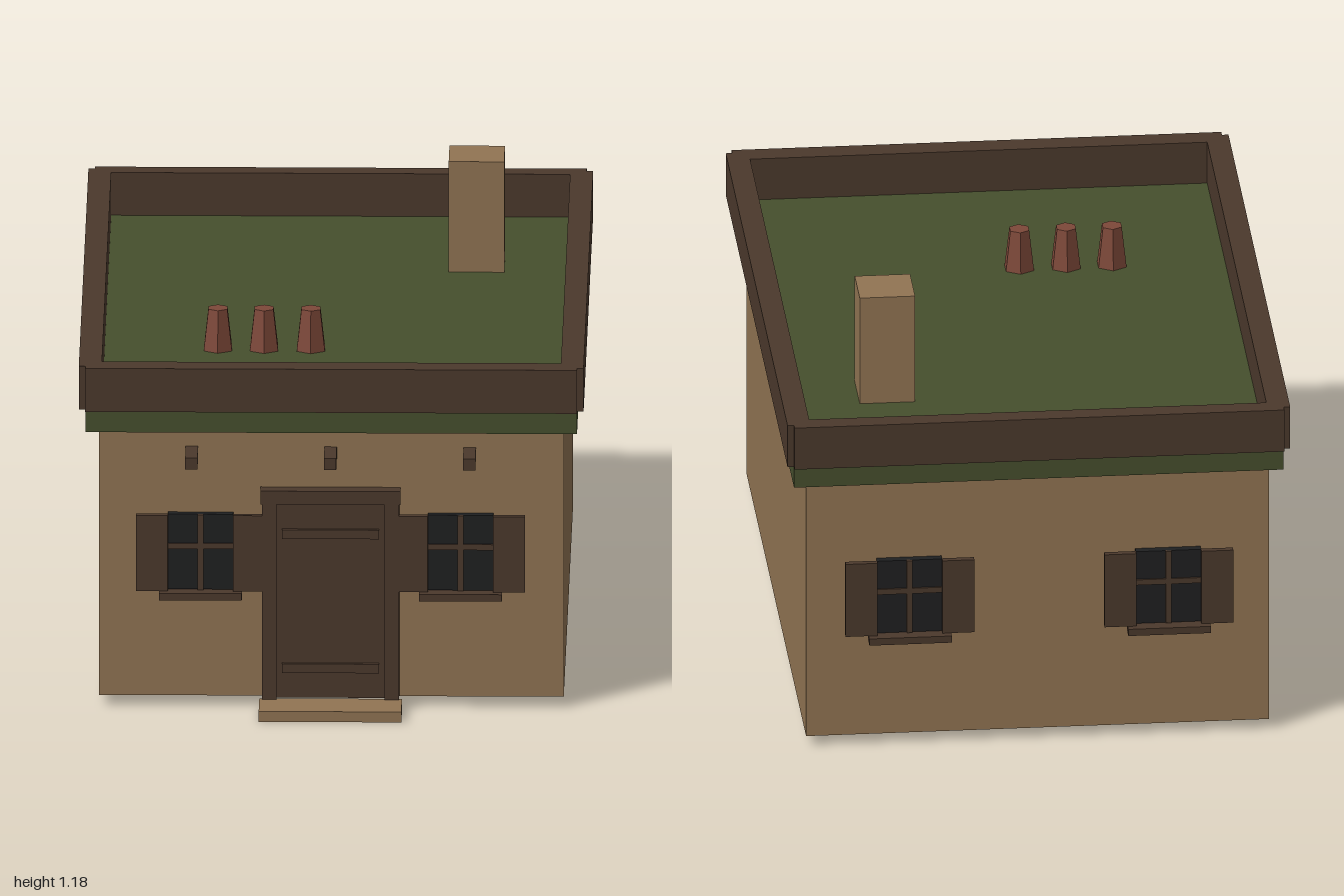
import * as THREE from 'three';

const flat = (name, color) => {
  const m = new THREE.MeshStandardMaterial({ color });
  m.name = name;
  return m;
};

export function createModel() {
  const wall = flat('adobe', 0x917453);
  const wood = flat('dark wood', 0x4b392c);
  const green = flat('roof green', 0x464f2d);
  const glass = flat('window glass', 0x1f2021);
  const clay = flat('clay', 0x7d4839);

  const house = new THREE.Group();
  house.name = 'house';

  // Box given by its minimum and maximum along each axis
  const box = (parent, name, mat, [x0, x1], [y0, y1], [z0, z1]) => {
    const mesh = new THREE.Mesh(new THREE.BoxGeometry(x1 - x0, y1 - y0, z1 - z0), mat);
    mesh.position.set((x0 + x1) / 2, (y0 + y1) / 2, (z0 + z1) / 2);
    mesh.name = name;
    parent.add(mesh);
    return mesh;
  };

  // Walls, roof slab and chimney
  box(house, 'walls', wall, [-0.64, 0.64], [0.03, 0.8], [-0.94, 0.85]);
  box(house, 'roofSlab', green, [-0.677, 0.677], [0.797, 0.862], [-0.98, 0.885]);
  box(house, 'chimney', wall, [0.305, 0.458], [0.86, 1.18], [-0.574, -0.423]);

  // Parapet: a ring with notched corners (shape y is -z)
  const ring = new THREE.Shape([
    [-0.677, -0.9], [0.677, -0.9], [0.677, -0.88], [0.695, -0.88],
    [0.695, 0.98], [0.677, 0.98], [0.677, 1], [-0.677, 1],
    [-0.677, 0.98], [-0.695, 0.98], [-0.695, -0.88], [-0.677, -0.88],
  ].map(([x, y]) => new THREE.Vector2(x, y)));
  ring.holes.push(new THREE.Path([
    [-0.632, -0.834], [-0.632, 0.945], [0.632, 0.945], [0.632, -0.834],
  ].map(([x, y]) => new THREE.Vector2(x, y))));
  const parapet = new THREE.Mesh(
    new THREE.ExtrudeGeometry(ring, { depth: 0.125, bevelEnabled: false }), wood);
  parapet.rotation.x = -Math.PI / 2;
  parapet.position.y = 0.86;
  parapet.name = 'parapet';
  house.add(parapet);

  // Hexagonal roof pots
  for (const x of [-0.32, -0.193, -0.064]) {
    const pot = new THREE.Mesh(new THREE.CylinderGeometry(0.03, 0.045, 0.12, 6).toNonIndexed(), clay);
    pot.geometry.computeVertexNormals();
    pot.position.set(x, 0.92, 0.307);
    pot.name = 'roofPot';
    house.add(pot);
  }

  // Beam ends over the door
  for (const x of [-0.384, -0.002, 0.381]) {
    box(house, 'beamEnd', wood, [x - 0.017, x + 0.017], [0.714, 0.747], [0.84, 0.96]);
  }

  // Door with frame, battens and step
  const door = new THREE.Group();
  door.name = 'door';
  door.position.x = -0.002;
  house.add(door);
  box(door, 'doorPanel', wood, [-0.15, 0.15], [0.03, 0.592], [0.845, 0.868]);
  for (const y of [0.117, 0.503]) {
    box(door, 'doorBatten', wood, [-0.134, 0.134], [y - 0.013, y + 0.013], [0.865, 0.879]);
  }
  for (const s of [-1, 1]) {
    const x = s * 0.169;
    box(door, 'doorJamb', wood, [x - 0.02, x + 0.02], [0.03, 0.592], [0.845, 0.889]);
  }
  box(door, 'doorLintel', wood, [-0.193, 0.193], [0.592, 0.631], [0.845, 0.891]);
  box(house, 'doorStep', wall, [-0.198, 0.195], [0, 0.03], [0.877, 1]);

  // Window with glazing bars, sill and shutters, facing +z from z = 0
  const addWindow = (x, z, turn) => {
    const win = new THREE.Group();
    win.name = 'window';
    win.position.set(x, 0, z);
    win.rotation.y = turn;
    box(win, 'glass', glass, [-0.09, 0.09], [0.342, 0.558], [-0.005, 0.022]);
    box(win, 'verticalBar', wood, [-0.008, 0.008], [0.342, 0.558], [0.018, 0.028]);
    box(win, 'crossBar', wood, [-0.09, 0.09], [0.459, 0.475], [0.018, 0.027]);
    box(win, 'sill', wood, [-0.114, 0.114], [0.32, 0.34], [0.015, 0.056]);
    for (const s of [-1, 1]) {
      const c = s * 0.134;
      box(win, 'shutter', wood, [c - 0.044, c + 0.044], [0.341, 0.559], [0.02, 0.038]);
    }
    house.add(win);
  };
  for (const x of [-0.36, 0.356]) {
    addWindow(x, 0.85, 0);
    addWindow(x, -0.94, Math.PI);
  }

  return house;
}
